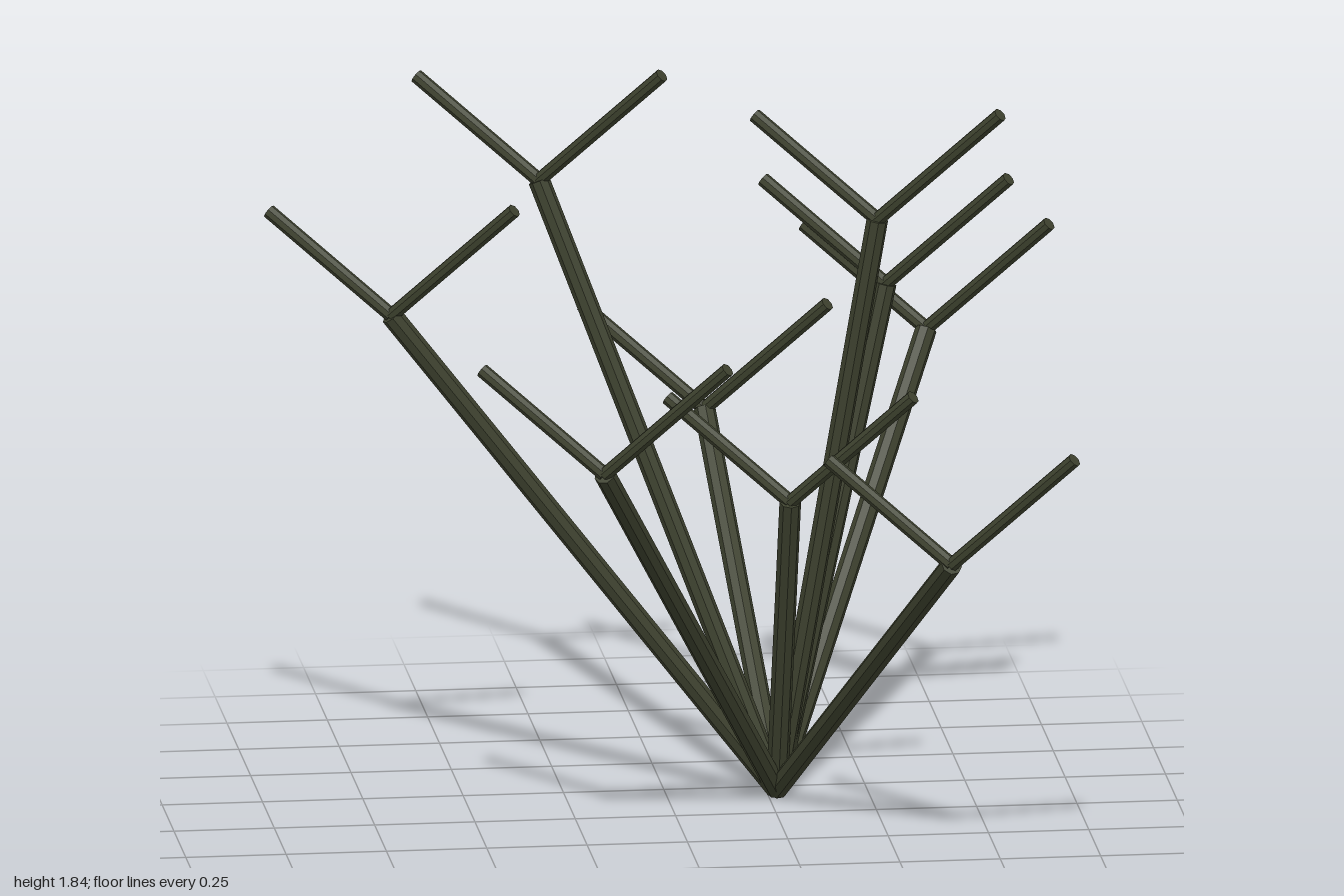
import * as THREE from 'three';

const UP = new THREE.Vector3(0, 1, 0);

// Straight rod between two points
function rod(name, from, to, radius, material) {
  const dir = to.clone().sub(from);
  const mesh = new THREE.Mesh(new THREE.CylinderGeometry(radius, radius, dir.length(), 8), material);
  mesh.name = name;
  mesh.position.copy(from).addScaledVector(dir, 0.5);
  mesh.quaternion.setFromUnitVectors(UP, dir.normalize());
  return mesh;
}

export function createModel() {
  const bark = new THREE.MeshStandardMaterial({ color: 0x3d412e, flatShading: true });
  bark.name = 'dark olive bark';

  const model = new THREE.Group();
  model.name = 'branchingShrub';

  // All stems fan out from one root point
  const root = new THREE.Vector3(0.27, 0.018, -0.15);
  const forks = [
    [-0.70, 1.285, -0.068],
    [-0.288, 1.517, -0.446],
    [-0.255, 1.06, 0.665],
    [0.163, 0.83, -0.77],
    [0.27, 0.83, 0.133],
    [0.50, 1.517, 0.022],
    [0.55, 1.285, -0.224],
    [0.697, 1.06, -0.615],
    [0.597, 0.83, 0.77],
  ];

  // Every fork carries the same pair of twigs
  const twigs = {
    lowTwig: new THREE.Vector3(-0.284, 0.227, -0.184),
    highTwig: new THREE.Vector3(0.284, 0.31, 0.188),
  };

  for (const f of forks) {
    const fork = new THREE.Vector3(...f);
    const branch = new THREE.Group();
    branch.name = 'branch';
    branch.add(rod('stem', root, fork, 0.027, bark));
    for (const [name, offset] of Object.entries(twigs)) {
      branch.add(rod(name, fork, fork.clone().add(offset), 0.018, bark));
    }
    model.add(branch);
  }
  return model;
}
